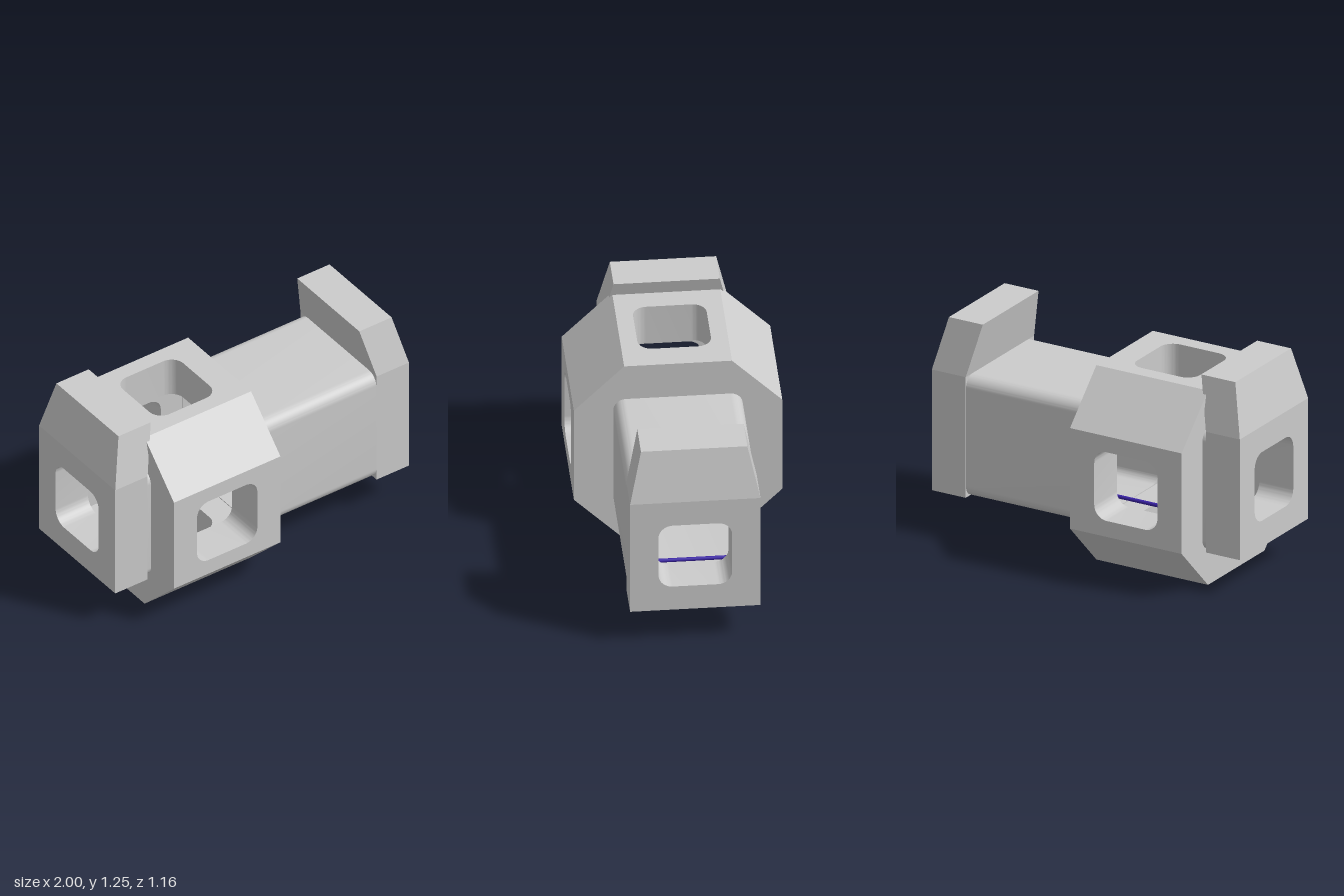
import * as THREE from 'three';
import { toCreasedNormals } from 'three/addons/utils/BufferGeometryUtils.js';

const MID = 0.58;      // height of the long axis
const HUB_X = -0.3925; // centre of the octagonal hub
const HUB_L = 0.725;

const grey = new THREE.MeshStandardMaterial({ color: 0xcccccc });
const purple = new THREE.MeshStandardMaterial({ color: 0x3a22a8 });

function add(parent, name, geometry, material = grey) {
  const mesh = new THREE.Mesh(geometry, material);
  mesh.name = name;
  parent.add(mesh);
  return mesh;
}

// Rounded rectangle centred on the origin
function roundedRect(w, h, r, PathType = THREE.Shape) {
  const x = w / 2, y = h / 2, p = new PathType();
  p.moveTo(-x + r, -y);
  p.lineTo(x - r, -y).absarc(x - r, -y + r, r, -Math.PI / 2, 0);
  p.lineTo(x, y - r).absarc(x - r, y - r, r, 0, Math.PI / 2);
  p.lineTo(-x + r, y).absarc(-x + r, y - r, r, Math.PI / 2, Math.PI);
  p.lineTo(-x, -y + r).absarc(-x + r, -y + r, r, Math.PI, Math.PI * 1.5);
  return p;
}

const windowHole = () => roundedRect(0.41, 0.41, 0.08, THREE.Path);
const polygon = (points) => new THREE.Shape(points.map(([x, y]) => new THREE.Vector2(x, y)));

function extrude(shape, depth) {
  const g = new THREE.ExtrudeGeometry(shape, { depth, bevelEnabled: false, curveSegments: 8 });
  return toCreasedNormals(g, 0.6);
}

// Extrusion running along x, from x0 to x1
const extrudeX = (shape, x0, x1) => extrude(shape, x1 - x0).rotateY(Math.PI / 2).translate(x0, 0, 0);

// Octagonal hub: four window blocks joined by four corner wedges
function createHub() {
  const hub = new THREE.Group();
  hub.name = 'hub';
  hub.position.set(HUB_X, MID, 0);
  const wall = polygon([[-HUB_L / 2, -0.3], [HUB_L / 2, -0.3], [HUB_L / 2, 0.3], [-HUB_L / 2, 0.3]]);
  wall.holes.push(windowHole());
  const block = extrude(wall, 0.24).translate(0, 0, 0.34);
  const wedge = extrudeX(
    polygon([[0.3, 0.34], [0.34, 0.34], [0.34, 0.3], [0.58, 0.3], [0.3, 0.58]]), -HUB_L / 2, HUB_L / 2);
  for (let i = 0; i < 4; i++) {
    add(hub, 'windowBlock', block).rotation.x = i * Math.PI / 2;
    add(hub, 'hubCorner', wedge).rotation.x = i * Math.PI / 2;
  }
  return hub;
}

// Hollow barrel section with softly rounded corners
function barrelSection(x0, x1) {
  const ring = roundedRect(0.72, 0.72, 0.07);
  ring.holes.push(roundedRect(0.67, 0.67, 0.05, THREE.Path));
  return extrudeX(ring, x0, x1).translate(0, MID, 0);
}

// End frame: windowed slab with a tapered top leaning inwards
function createEndFrame(side) {
  const frame = new THREE.Group();
  frame.name = side > 0 ? 'leftEndFrame' : 'rightEndFrame';
  const slab = polygon([[-0.363, -0.36], [0.363, -0.36], [0.363, 0.36], [-0.363, 0.36]]);
  slab.holes.push(windowHole());
  add(frame, 'frameSlab', extrudeX(slab, 0.78, 1).translate(0, MID, 0));

  const top = new THREE.BoxGeometry(0.22, 0.305, 0.726);
  const p = top.attributes.position;
  for (let i = 0; i < p.count; i++) {
    if (p.getY(i) > 0) {
      p.setX(i, p.getX(i) - 0.07);
      p.setZ(i, p.getZ(i) * 0.815);
    }
  }
  top.computeVertexNormals();
  add(frame, 'frameTop', top.translate(0.89, 1.0925, 0));
  if (side < 0) frame.rotation.y = Math.PI;
  return frame;
}

// Grab rail with a short post near each end
function createRail(name, length) {
  const rail = new THREE.Group();
  rail.name = name;
  add(rail, 'railBar', new THREE.CylinderGeometry(0.011, 0.011, length, 12).rotateZ(Math.PI / 2), purple);
  for (const s of [-1, 1]) {
    add(rail, 'railPost', new THREE.CylinderGeometry(0.006, 0.006, 0.04, 8))
      .position.set(s * (length / 2 - 0.02), -0.02, 0);
  }
  return rail;
}

export function createModel() {
  const model = new THREE.Group();
  model.name = 'stationModule';
  model.add(createHub());
  add(model, 'barrel', barrelSection(-0.04, 0.785));
  add(model, 'barrelCollar', barrelSection(-0.785, -0.745));
  model.add(createEndFrame(1), createEndFrame(-1));

  const floorRail = createRail('floorRail', 0.85);
  floorRail.position.set(-0.3, 0.265, 0);
  const crossRail = createRail('crossRail', 0.48);
  crossRail.position.set(0.765, 0.391, 0);
  crossRail.rotation.y = Math.PI / 2;
  model.add(floorRail, crossRail);
  return model;
}
